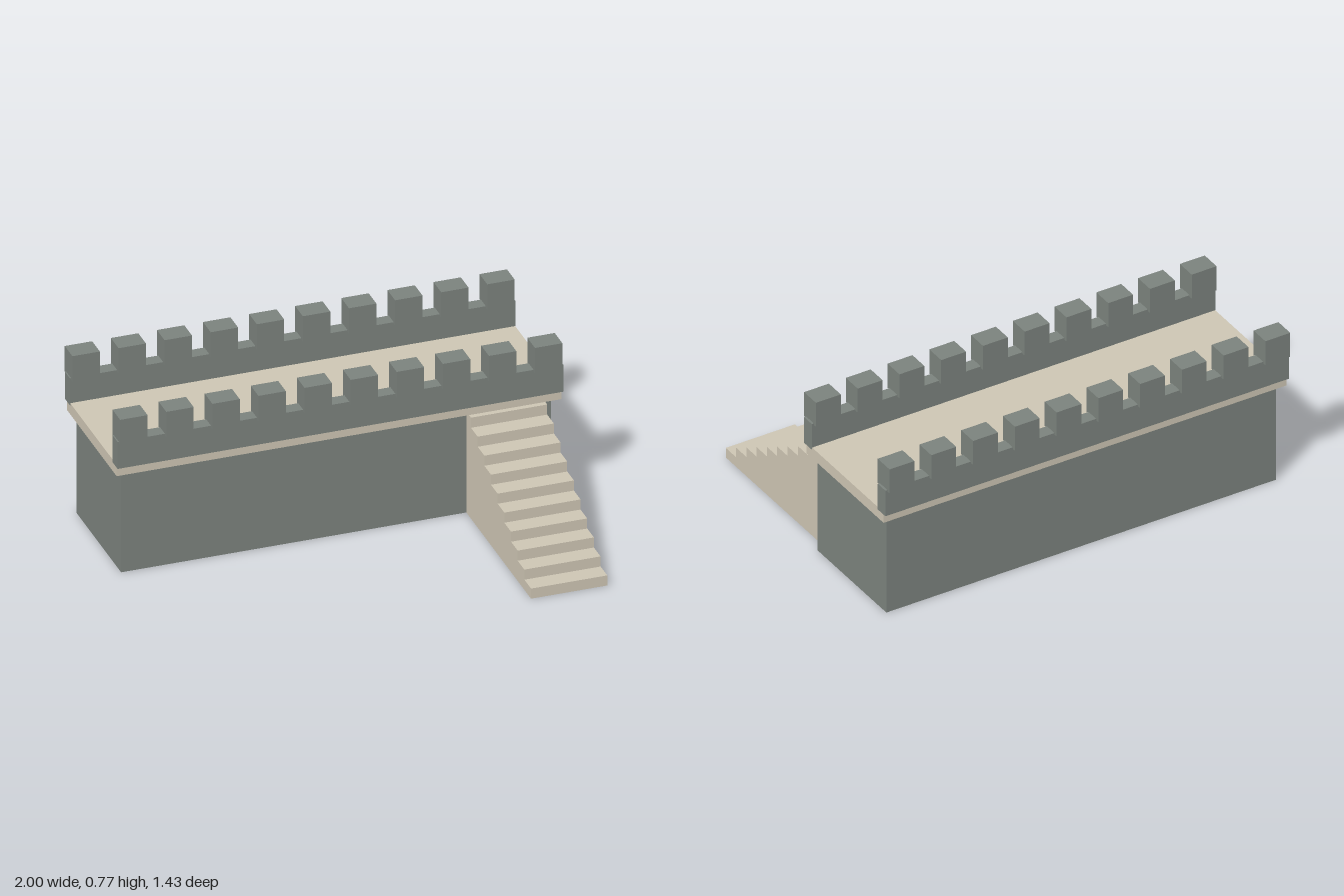
import * as THREE from 'three';

const stone = new THREE.MeshStandardMaterial({ color: 0x7b827d });
const sand = new THREE.MeshStandardMaterial({ color: 0xcdc5b3 });

// Box given by its minimum and maximum corners
function block(name, material, [x0, y0, z0], [x1, y1, z1]) {
  const mesh = new THREE.Mesh(new THREE.BoxGeometry(x1 - x0, y1 - y0, z1 - z0), material);
  mesh.name = name;
  mesh.position.set((x0 + x1) / 2, (y0 + y1) / 2, (z0 + z1) / 2);
  return mesh;
}

// Low parapet wall topped with evenly spaced merlons
function createBattlement(name, z) {
  const group = new THREE.Group();
  group.name = name;
  group.add(block('parapet', stone, [-1, 0.53, z - 0.031], [1, 0.66, z + 0.031]));
  const count = 10, half = 0.0615;
  for (let i = 0; i < count; i++) {
    const x = -0.933 + i * 0.2068;
    group.add(block('merlon', stone, [x - half, 0.652, z - 0.048], [x + half, 0.774, z + 0.048]));
  }
  return group;
}

// Solid staircase: stepped side profile extruded across its width
function createStairs() {
  const steps = 10, rise = 0.0486, run = 0.083, front = 0.714, back = -0.095;
  const profile = new THREE.Shape();
  profile.moveTo(-back, 0);
  profile.lineTo(-front, 0);
  for (let i = 0; i < steps; i++) {
    const u = -front + i * run;
    profile.lineTo(u, (i + 1) * rise);
    profile.lineTo(i < steps - 1 ? u + run : -back, (i + 1) * rise);
  }
  const geometry = new THREE.ExtrudeGeometry(profile, { depth: 0.342, bevelEnabled: false });
  geometry.rotateY(Math.PI / 2); // profile x becomes -z, depth becomes +x
  const mesh = new THREE.Mesh(geometry, sand);
  mesh.name = 'stairs';
  mesh.position.x = 0.583;
  return mesh;
}

export function createModel() {
  const model = new THREE.Group();
  model.name = 'battlementWall';
  model.add(
    block('wallBody', stone, [-0.966, 0, -0.645], [0.964, 0.487, -0.091]),
    block('walkway', sand, [-0.998, 0.486, -0.678], [0.998, 0.54, -0.057]),
    createBattlement('frontBattlement', -0.071),
    createBattlement('backBattlement', -0.665),
    createStairs()
  );
  return model;
}
